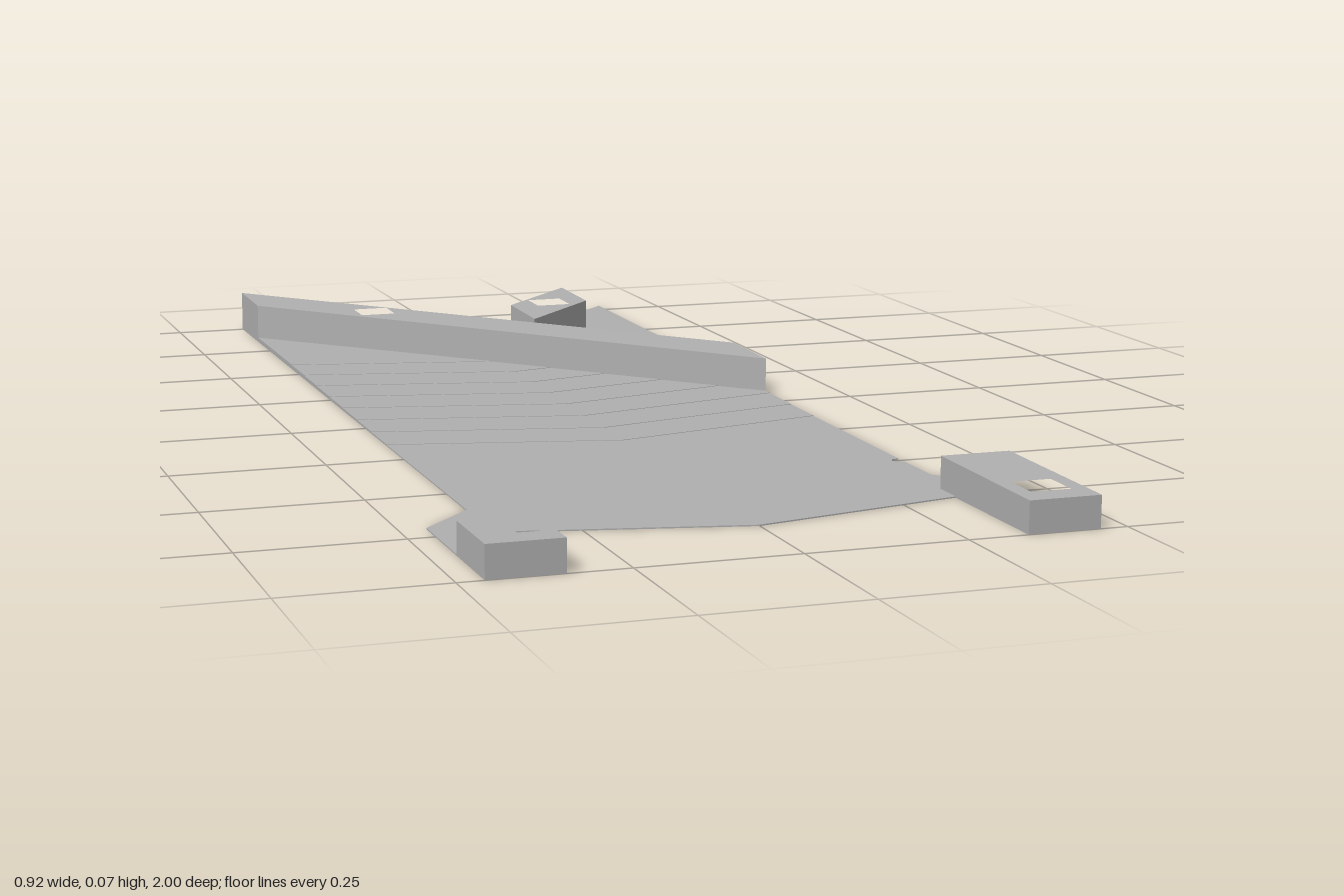
import * as THREE from 'three';

// Square hole outline centred on (x, z)
const HALF = 0.032;
const square = (x, z) => [
  [x - HALF, z - HALF], [x + HALF, z - HALF], [x + HALF, z + HALF], [x - HALF, z + HALF],
];

const HOLES = {
  backLeft: square(0.175, -0.725),
  backRight: square(-0.175, -0.725),
  frontLeft: square(0.4, 0.922),
  frontRight: square(-0.4, 0.922),
};

// Upright slab from a plan outline of [x, z] points; top is a height or a rule of (x, z)
function slab(name, outline, holes, bottom, top, material) {
  const toPoints = (list) => list.map(([x, z]) => new THREE.Vector2(x, -z));
  const shape = new THREE.Shape(toPoints(outline));
  holes.forEach((h) => shape.holes.push(new THREE.Path(toPoints(h))));
  const geometry = new THREE.ExtrudeGeometry(shape, { depth: 1, bevelEnabled: false });
  geometry.rotateX(-Math.PI / 2);
  const p = geometry.attributes.position;
  for (let i = 0; i < p.count; i++) {
    const high = typeof top === 'function' ? top(p.getX(i), p.getZ(i)) : top;
    p.setY(i, p.getY(i) > 0.5 ? high : bottom);
  }
  geometry.computeVertexNormals();
  const mesh = new THREE.Mesh(geometry, material);
  mesh.name = name;
  return mesh;
}

export function createModel() {
  const model = new THREE.Group();
  model.name = 'chevronPlate';
  const grey = new THREE.MeshStandardMaterial({ color: 0xb0b0b0 });
  grey.name = 'plain grey';

  // Thin base plate with a V-cut back, pointed front, two legs and a small edge notch
  const base = 0.002;
  const notch = [];
  for (let i = 0; i <= 6; i++) {
    const a = (i / 6) * Math.PI;
    notch.push([0.37 - 0.016 * Math.sin(a), 0.506 - 0.012 * Math.cos(a)]);
  }
  model.add(slab('basePlate', [
    [-0.375, -1], [0, -0.615], [0.37, -1], ...notch,
    [0.37, 0.615], [0.457, 0.703], [0.457, 1], [0.343, 1], [0.343, 0.76],
    [0, 0.833], [-0.345, 0.76], [-0.345, 1], [-0.46, 1], [-0.46, 0.703], [-0.375, 0.615],
  ], Object.values(HOLES), 0, base, grey));

  // Shallow chevron steps thickening the plate towards the back
  const steps = 8, rise = 0.0008;
  for (let i = 0; i < steps; i++) {
    const tip = 0.23 - i * 0.1;
    model.add(slab('chevronStep' + (i + 1), [
      [-0.375, -1], [0, -0.615], [0.37, -1],
      [0.37, tip - 0.085], [0, tip], [-0.375, tip - 0.085],
    ], [HOLES.backLeft, HOLES.backRight], base + i * rise, base + (i + 1) * rise, grey));
  }

  // Long diagonal bar, its top falling gently towards the front
  model.add(slab('diagonalBar', [
    [-0.375, -1], [0.37, -0.228], [0.37, -0.073], [-0.375, -0.85],
  ], [HOLES.backRight], base, (x, z) => 0.062 - 0.0118 * (z + 0.073), grey));

  // Short pad beside the V cut
  model.add(slab('shortPad', [
    [0.095, -0.715], [0.25, -0.875], [0.25, -0.72], [0.095, -0.56],
  ], [HOLES.backLeft], base, (x, z) => 0.062 - 0.0118 * (z + 0.073), grey));

  // Front foot blocks, the left one longer
  model.add(slab('rightFootBlock', [
    [-0.46, 0.862], [-0.345, 0.862], [-0.345, 1], [-0.46, 1],
  ], [HOLES.frontRight], base, 0.05, grey));
  model.add(slab('leftFootBlock', [
    [0.343, 0.706], [0.457, 0.706], [0.457, 1], [0.343, 1],
  ], [HOLES.frontLeft], base, (x, z) => 0.05 + 0.01 * (1 - z), grey));

  return model;
}
